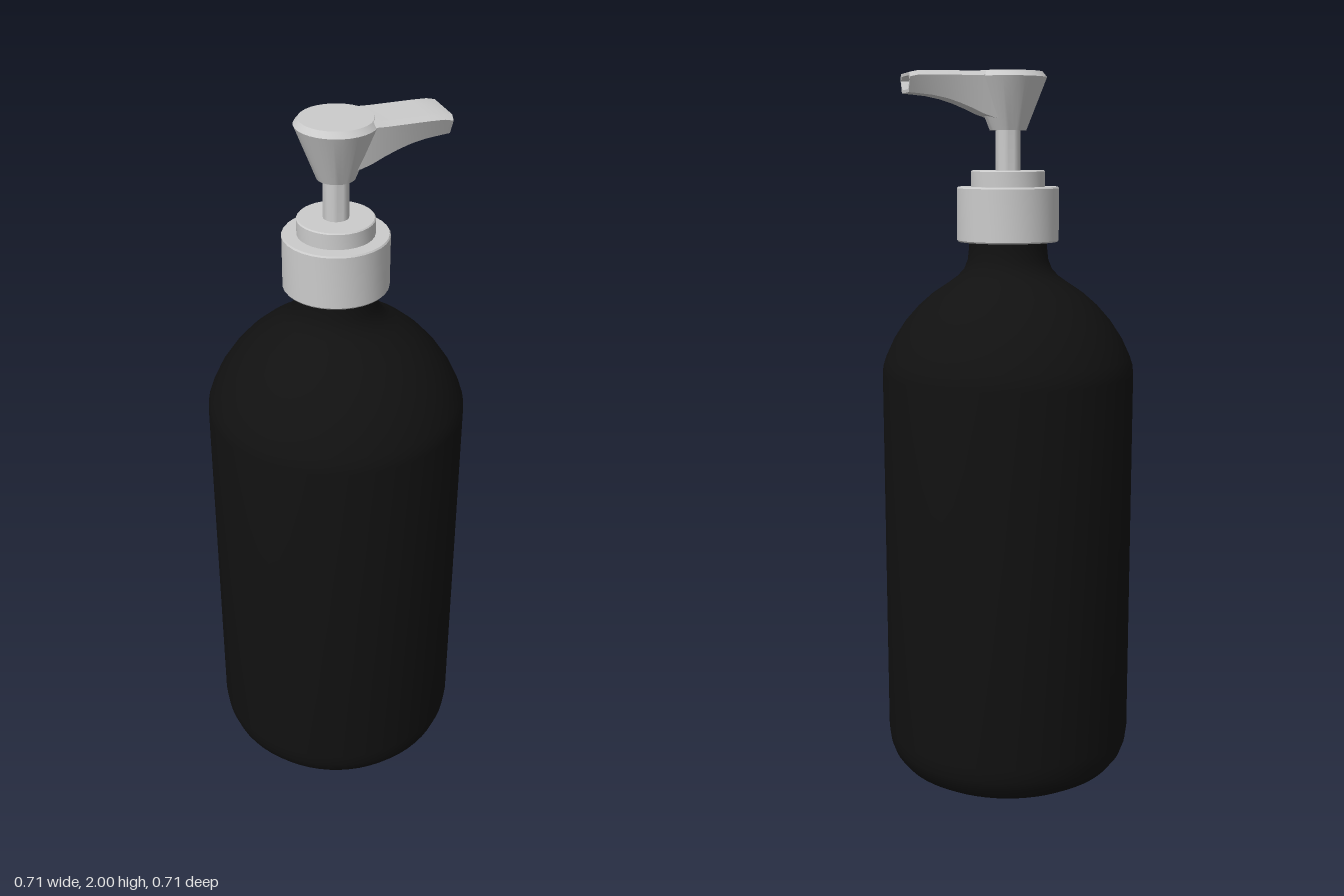
import * as THREE from 'three';
import { toCreasedNormals } from 'three/addons/utils/BufferGeometryUtils.js';

const grey = new THREE.MeshStandardMaterial({ color: 0xcccccc });
const black = new THREE.MeshStandardMaterial({ color: 0x111111 });

function addMesh(group, name, geometry, material) {
  const mesh = new THREE.Mesh(toCreasedNormals(geometry, 0.55), material);
  mesh.name = name;
  group.add(mesh);
}

// Turned part from [radius, height] pairs, listed bottom to top
function turned(profile, segments) {
  return new THREE.LatheGeometry(profile.map(([r, y]) => new THREE.Vector2(r, y)), segments);
}

// Spout cross-section: bevelled top, sides tapering towards the underside
function spoutRing(x, top, bottom, inset = 0) {
  const t = top - inset, b = bottom + inset;
  const bevel = Math.min(0.012, (t - b) * 0.3);
  const half = [[t, 0.056 - inset], [t - bevel, 0.067 - inset], [b, 0.048 - inset]];
  return [
    [x, half[0][0], -half[0][1]],
    ...half.map(([y, z]) => [x, y, z]),
    [x, half[2][0], -half[2][1]],
    [x, half[1][0], -half[1][1]],
  ];
}

// Skin joining consecutive rings, closed with a fan on the last ring
function loft(rings) {
  const n = rings[0].length, index = [];
  for (let i = 0; i < rings.length - 1; i++) {
    for (let j = 0; j < n; j++) {
      const a = i * n + j, b = i * n + (j + 1) % n;
      index.push(a, b, b + n, a, b + n, a + n);
    }
  }
  const last = (rings.length - 1) * n;
  for (let j = 1; j < n - 1; j++) index.push(last, last + j, last + j + 1);
  const geometry = new THREE.BufferGeometry();
  geometry.setAttribute('position', new THREE.Float32BufferAttribute(rings.flat(2), 3));
  geometry.setIndex(index);
  geometry.computeVertexNormals();
  return geometry;
}

export function createModel() {
  const model = new THREE.Group();
  model.name = 'pumpBottle';

  // Bottle with rounded base, domed shoulder and flared neck
  addMesh(model, 'bottle', turned([
    [0, 0.005], [0.22, 0.005], [0.25, 0.006], [0.285, 0.014], [0.315, 0.032], [0.337, 0.06],
    [0.348, 0.09], [0.353, 0.13], [0.353, 1.18], [0.351, 1.2], [0.343, 1.225],
    [0.32, 1.275], [0.287, 1.325], [0.25, 1.367], [0.21, 1.402], [0.165, 1.432],
    [0.14, 1.45], [0.122, 1.47], [0.112, 1.495], [0.108, 1.53], [0.108, 1.6],
  ], 64), black);

  const pump = new THREE.Group();
  pump.name = 'pump';
  model.add(pump);

  // Screw collar, hollow underneath around the neck
  addMesh(pump, 'collar', turned([
    [0.105, 1.6], [0.112, 1.545], [0.138, 1.545], [0.141, 1.549], [0.141, 1.69], [0.138, 1.694], [0, 1.694],
  ], 32), grey);
  addMesh(pump, 'collarStep', turned([
    [0.102, 1.69], [0.102, 1.735], [0.099, 1.738], [0, 1.738],
  ], 32), grey);
  addMesh(pump, 'stem', turned([[0.034, 1.73], [0.034, 1.86]], 24), grey);

  // Conical press head with bevelled rim
  addMesh(pump, 'head', turned([
    [0, 1.845], [0.05, 1.845], [0.106, 1.985], [0.094, 2], [0, 2],
  ], 32), grey);

  // Spout: curved underside, then a lip and a recess at the mouth
  const outer = [
    [0.0, 1.999, 1.87], [0.05, 1.999, 1.878], [0.08, 1.999, 1.888], [0.11, 1.998, 1.902],
    [0.145, 1.998, 1.916], [0.18, 1.998, 1.927], [0.22, 1.998, 1.935], [0.26, 1.997, 1.939],
    [0.283, 1.992, 1.941],
  ].map(([x, top, bottom]) => spoutRing(x, top, bottom));
  const mouth = [0.283, 0.2].map((x) => spoutRing(x, 1.992, 1.941, 0.008));
  addMesh(pump, 'spout', loft([...outer, ...mouth]), grey);

  return model;
}
